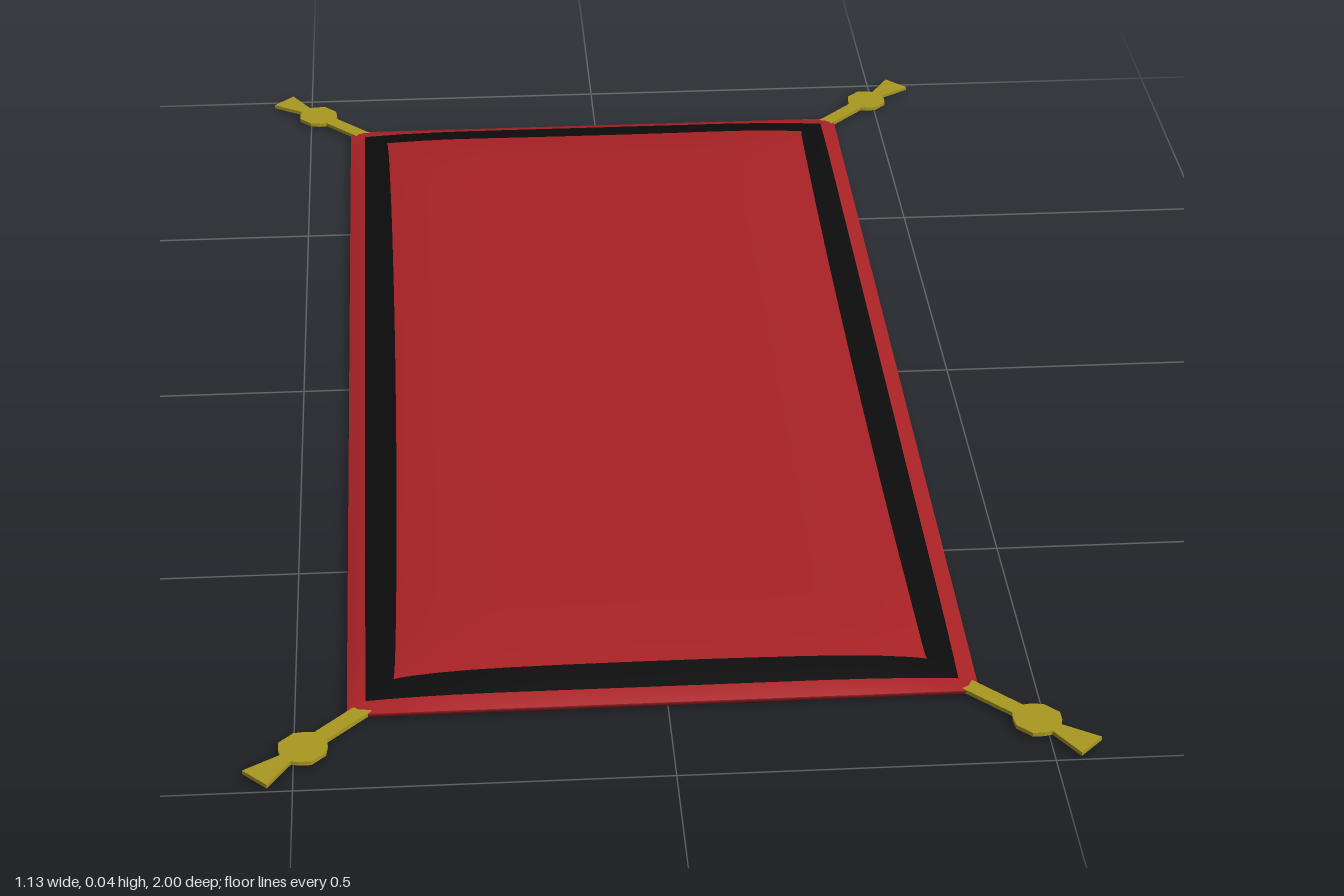
import * as THREE from 'three';

const HALF_X = 0.425, HALF_Z = 0.854, CENTRE_X = -0.005;
const EDGE_Y = 0.011, RISE = 0.026, SIDE_STEPS = 16;

const paint = (color) => new THREE.MeshStandardMaterial({ color });

// How far the cushion has risen at a given inset from an edge (0 to 1)
function swell(inset) {
  const k = 1 - Math.min(Math.max(inset, 0) / 0.21, 1);
  return Math.pow(1 - k * k, 0.75);
}

const domeY = (x, z) =>
  EDGE_Y + RISE * swell(HALF_X - Math.abs(x)) * swell(HALF_Z - Math.abs(z));

// Rectangular loop, counterclockwise from above; bow pushes the sides inward
function ring(insetX, { y = null, bow = 0, insetZ = insetX } = {}) {
  const hx = HALF_X - insetX, hz = HALF_Z - insetZ;
  const corners = [[1, 1], [1, -1], [-1, -1], [-1, 1]];
  const points = [];
  corners.forEach(([ax, az], side) => {
    const [bx, bz] = corners[(side + 1) % 4];
    for (let i = 0; i < SIDE_STEPS; i++) {
      const t = (1 - Math.cos(Math.PI * i / SIDE_STEPS)) / 2;
      const push = bow * Math.sqrt(Math.sin(Math.PI * t));
      let x = (ax + (bx - ax) * t) * hx, z = (az + (bz - az) * t) * hz;
      if (ax === bx) x -= ax * push; else z -= az * push;
      points.push([x, y === null ? domeY(x, z) : y, z]);
    }
  });
  return points;
}

// Skin a series of loops
function loft(name, material, rings) {
  const n = rings[0].length, index = [];
  for (let r = 0; r < rings.length - 1; r++) {
    for (let i = 0; i < n; i++) {
      const j = (i + 1) % n, a = r * n, b = a + n;
      index.push(a + i, a + j, b + i, a + j, b + j, b + i);
    }
  }
  const geometry = new THREE.BufferGeometry();
  geometry.setAttribute('position', new THREE.Float32BufferAttribute(rings.flat(2), 3));
  geometry.setIndex(index);
  geometry.computeVertexNormals();
  const mesh = new THREE.Mesh(geometry, material);
  mesh.name = name;
  mesh.position.x = CENTRE_X;
  return mesh;
}

// Flat tassel pointing along +x: cord, knot and flared end
function tasselGeometry() {
  const outline = [[-0.015, 0.012], [0.07, 0.012], [0.077, 0.021], [0.09, 0.031],
    [0.117, 0.031], [0.129, 0.019], [0.134, 0.01], [0.19, 0.023]];
  const shape = new THREE.Shape([
    ...outline.map(([s, w]) => new THREE.Vector2(s, -w)),
    ...outline.map(([s, w]) => new THREE.Vector2(s, w)).reverse(),
  ]);
  return new THREE.ExtrudeGeometry(shape, { depth: 0.006, bevelEnabled: false })
    .rotateX(-Math.PI / 2).translate(0, 0.006, 0);
}

export function createModel() {
  const model = new THREE.Group();
  model.name = 'carpet';
  const red = paint(0xaa2226), black = paint(0x0c0c0c), gold = paint(0xaa9820);

  // Flat underside and thin side wall
  const centre = { y: 0, insetZ: HALF_Z };
  model.add(loft('underside', red, [ring(HALF_X, centre), ring(0.008, { y: 0 })]));
  model.add(loft('sideEdge', red, [ring(0.008, { y: 0 }), ring(0, { y: 0.007 }), ring(0)]));

  // Domed top: red rim, black border, red middle
  const inner = ring(0.063, { bow: 0.009 });
  model.add(loft('rim', red, [ring(0), ring(0.012), ring(0.025)]));
  model.add(loft('border', black, [ring(0.025), ring(0.043, { bow: 0.003 }), inner]));
  model.add(loft('middle', red, [
    inner,
    ...[0.1, 0.13, 0.17, 0.21].map((inset) => ring(inset)),
    ring(HALF_X, { insetZ: HALF_Z }),
  ]));

  // A tassel on each corner
  const geometry = tasselGeometry();
  for (const sx of [1, -1]) {
    for (const sz of [1, -1]) {
      const tassel = new THREE.Mesh(geometry, gold);
      tassel.name = `${sz > 0 ? 'front' : 'back'}${sx > 0 ? 'Left' : 'Right'}Tassel`;
      tassel.position.set(sx * 0.415, 0, sz * 0.85);
      tassel.rotation.y = Math.atan2(-sz, sx);
      model.add(tassel);
    }
  }
  return model;
}
